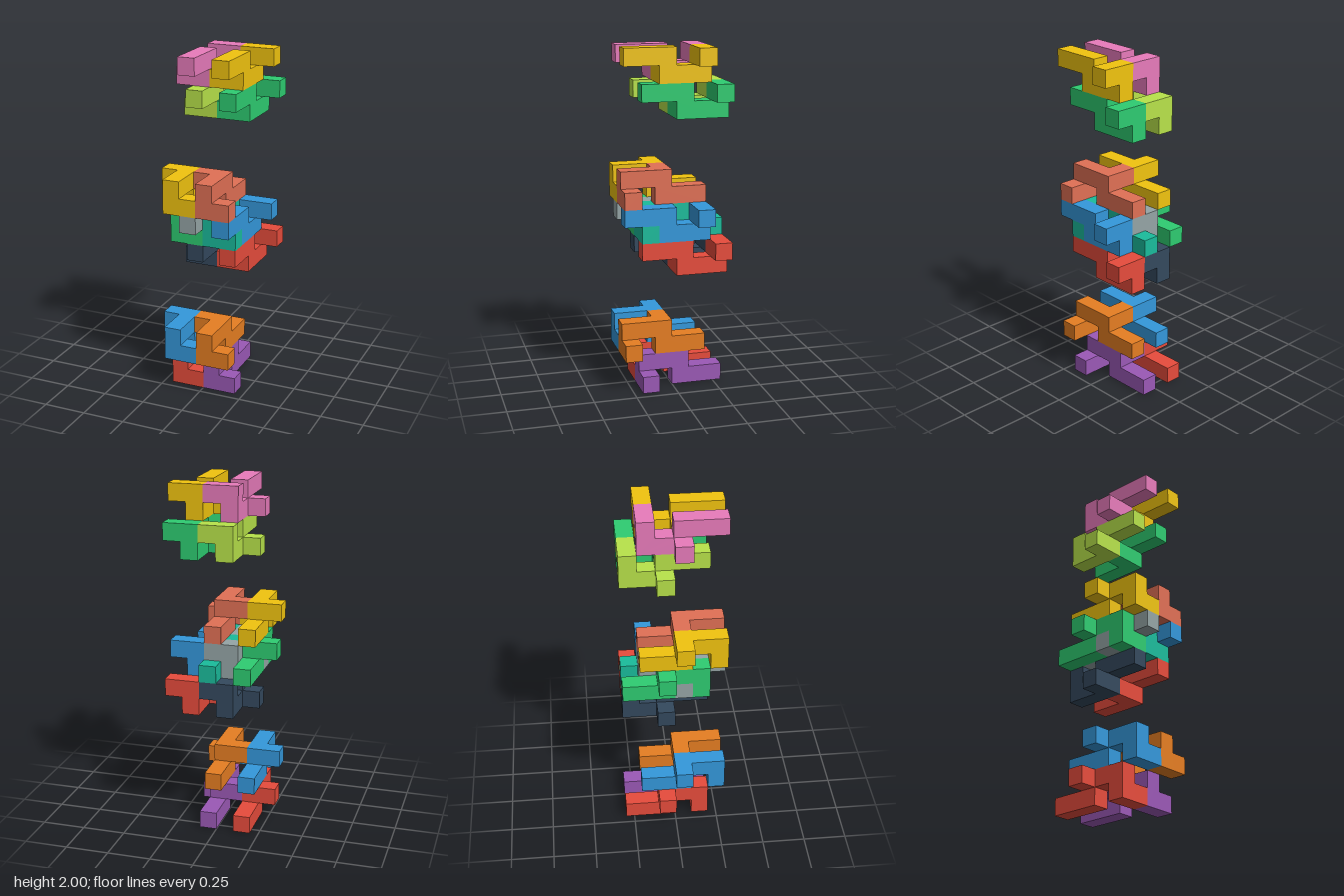
import * as THREE from 'three';
import { mergeGeometries } from 'three/addons/utils/BufferGeometryUtils.js';

const UNIT = 0.1; // edge of one puzzle cube

// One interlocking piece: a notched zigzag bar along z with a peg on each side.
function pieceGeometry() {
  const profile = new THREE.Shape([
    [-2, -1], [1, -1], [1, 0], [3, 0], [3, 1],
    [0, 1], [0, 0], [-1, 0], [-1, 1], [-2, 1],
  ].map(([z, y]) => new THREE.Vector2(z, y)));
  const bar = new THREE.ExtrudeGeometry(profile, { depth: 1, bevelEnabled: false });
  bar.rotateY(-Math.PI / 2).translate(1, 0, 0);

  const peg = (x, y, z) => new THREE.BoxGeometry(1, 1, 1).toNonIndexed().translate(x, y, z);
  const geometry = mergeGeometries([bar, peg(1.5, 0.5, -1.5), peg(-0.5, -0.5, 0.5)]);
  return geometry.scale(UNIT, UNIT, UNIT);
}

// Each layer holds a left and right piece, two units apart.
// x, y, z are in cube units; flipped pieces are turned over about the x axis.
const LAYERS = [
  // bottom cluster
  { name: 'bottomClusterLower', x: 0, y: 1, z: 0, flip: true, colors: [0x9b59b6, 0xe74c3c] },
  { name: 'bottomClusterUpper', x: 0, y: 3, z: 1, flip: true, colors: [0xe67e22, 0x3498db] },
  // middle cluster, with four pieces locked together in its core
  { name: 'middleClusterLower', x: 1, y: 8, z: -1, flip: false, colors: [0xe74c3c, 0x34495e] },
  { name: 'middleClusterCoreA', x: 0, y: 10, z: 0, flip: true, colors: [0x1abc9c, 0x2ecc71] },
  { name: 'middleClusterCoreB', x: 1, y: 10, z: 0, flip: false, colors: [0x3498db, 0x95a5a6] },
  { name: 'middleClusterUpper', x: 0, y: 12, z: 1, flip: true, colors: [0xe17055, 0xf1c40f] },
  // top cluster
  { name: 'topClusterLower', x: 1, y: 17, z: -1, flip: false, colors: [0x2ecc71, 0xb8e34a] },
  { name: 'topClusterUpper', x: 1, y: 19, z: 0, flip: false, colors: [0xf1c40f, 0xe87bbb] },
];

export function createModel() {
  const model = new THREE.Group();
  model.name = 'interlockingPuzzle';
  const geometry = pieceGeometry();

  for (const { name, x, y, z, flip, colors } of LAYERS) {
    const layer = new THREE.Group();
    layer.name = name;
    colors.forEach((color, i) => {
      const piece = new THREE.Mesh(geometry, new THREE.MeshStandardMaterial({ color }));
      piece.name = i === 0 ? 'leftPiece' : 'rightPiece';
      piece.position.set(x - 2 * i, y, z).multiplyScalar(UNIT);
      if (flip) piece.rotation.x = Math.PI;
      layer.add(piece);
    });
    model.add(layer);
  }
  return model;
}
